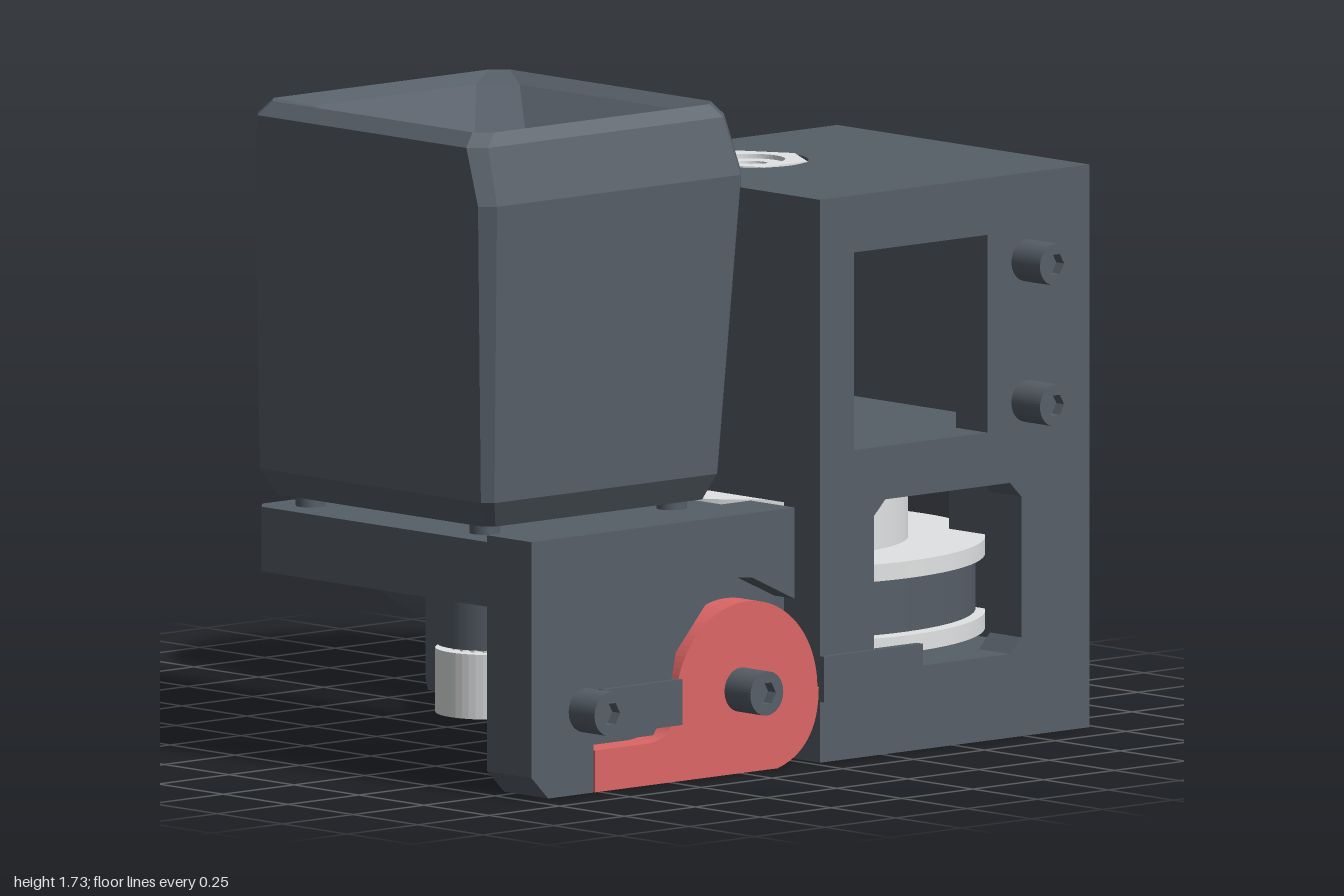
import * as THREE from 'three';

const mat = (name, color) => {
  const m = new THREE.MeshStandardMaterial({ color });
  m.name = name;
  return m;
};

export function createModel() {
  const dark = mat('dark grey plastic', 0x565e67);
  const red = mat('red lever', 0xde6666);
  const light = mat('light grey metal', 0xe2e3e4);
  const root = new THREE.Group();
  root.name = 'beltExtruder';

  const add = (name, geo, m = dark, x = 0, y = 0, z = 0, parent = root) => {
    const mesh = new THREE.Mesh(geo, m);
    mesh.name = name;
    mesh.position.set(x, y, z);
    parent.add(mesh);
    return mesh;
  };
  const poly = pts => new THREE.Shape(pts.map(p => new THREE.Vector2(p[0], p[1])));
  const rect = (a, b, c, d, k = 0) => poly(k
    ? [[a + k, b], [c - k, b], [c, b + k], [c, d - k], [c - k, d], [a + k, d], [a, d - k], [a, b + k]]
    : [[a, b], [c, b], [c, d], [a, d]]);
  const disc = (x, y, r) => new THREE.Shape().absarc(x, y, r, 0, Math.PI * 2);
  const hex = (x, y, r) => poly([...Array(6).keys()].map(i =>
    [x + r * Math.cos(i * Math.PI / 3), y + r * Math.sin(i * Math.PI / 3)]));
  const extrude = (shape, depth, holes = []) => {
    shape.holes.push(...holes);
    return new THREE.ExtrudeGeometry(shape, { depth, bevelEnabled: false, curveSegments: 24 });
  };
  // Extrusions: front shapes (x, y), side shapes (-z, y), plan shapes (x, -z)
  const front = (name, shape, z0, z1, holes, m) => add(name, extrude(shape, z1 - z0, holes), m, 0, 0, z0);
  const side = (name, shape, x0, x1, holes, m) =>
    add(name, extrude(shape, x1 - x0, holes).rotateY(Math.PI / 2), m, x0);
  const plan = (name, shape, y0, y1, holes, m) =>
    add(name, extrude(shape, y1 - y0, holes).rotateX(-Math.PI / 2), m, 0, y0);
  const box = (name, x0, x1, y0, y1, z0, z1, m) =>
    add(name, new THREE.BoxGeometry(x1 - x0, y1 - y0, z1 - z0), m, (x0 + x1) / 2, (y0 + y1) / 2, (z0 + z1) / 2);
  const cyl = (name, r, y0, y1, x, z, m = light, n = 48) =>
    add(name, new THREE.CylinderGeometry(r, r, y1 - y0, n), m, x, (y0 + y1) / 2, z);
  // Socket screw whose head faces local +z, ending at the given point
  const screw = (x, y, z, r, len, turn = 0) => {
    const g = new THREE.Group();
    g.name = 'socketScrew';
    const ring = Math.min(0.03, len / 2);
    add('screwShank', new THREE.CylinderGeometry(r, r, len - ring, 24).rotateX(Math.PI / 2), dark, 0, 0, -(len + ring) / 2, g);
    add('screwHead', extrude(disc(0, 0, r), ring, [hex(0, 0, r * 0.55)]), dark, 0, 0, -ring, g);
    g.position.set(x, y, z);
    g.rotation.y = turn;
    root.add(g);
  };

  // Main housing side walls, with pockets, nut seats, gear window and gear slot
  const wall = () => poly([[-0.88, 0], [0.42, 0], [0.42, 1.02], [0.28, 1.02], [0.22, 1.09], [0.09, 1.48], [-0.88, 1.48]]);
  const gearWindow = () => rect(-0.47, 0.22, 0.02, 0.67);
  const pocket = s => poly([[0.08, 0.8], [0.165, 0.82], [0.32, 1.08], [0.2, 1.31], [0.08, 1.35]]
    .map(([u, v]) => [-0.225 + s * u, v]));
  const nuts = [0.465, -0.01].flatMap(z => [1.39, 0.74, 0.14].map(y => [z, y]));
  side('rightWallOuter', wall(), 0.92, 0.98,
    [gearWindow(), pocket(1), pocket(-1), ...nuts.map(([z, y]) => hex(-z, y, 0.068))]);
  side('rightWallInner', wall(), 0.86, 0.92, [gearWindow()]);
  side('leftWall', wall(), 0.03, 0.15, [rect(-0.74, 0.2, 0.33, 0.67)]);
  for (const [z, y] of nuts) screw(0.978, y, z, 0.055, 0.06, Math.PI / 2);
  // Front wall with two windows
  front('frontWall', rect(0.03, 0, 0.98, 1.48), 0.76, 0.88,
    [rect(0.15, 0.81, 0.62, 1.33), rect(0.22, 0.22, 0.74, 0.67, 0.04)]);
  // Horizontal floors and roof
  plan('roof', rect(0.03, -0.88, 0.98, 0.09), 1.34, 1.48, [disc(0.39, -0.22, 0.15)]);
  box('middleFloor', 0.03, 0.98, 0.67, 0.8, -0.42, 0.88);
  box('bottomFloor', 0.03, 0.98, 0.07, 0.22, -0.42, 0.88);
  plan('bottomRim', rect(0.03, -0.88, 0.98, 0.42), 0, 0.07,
    [new THREE.Shape().absellipse(0.5, -0.22, 0.42, 0.48, 0, Math.PI * 2)]);
  box('backWall', 0.03, 0.98, 0, 0.8, -0.42, -0.34);
  box('backShoulderLeft', 0.03, 0.17, 0.8, 1.02, -0.42, -0.14);
  box('backShoulderRight', 0.61, 0.98, 0.8, 1.02, -0.42, -0.14);
  // Sloping back, leaned by shifting points with height
  const slope = extrude(poly([[0.03, 1.0], [0.17, 1.0], [0.17, 1.28], [0.22, 1.34], [0.56, 1.34], [0.61, 1.28],
    [0.61, 1.0], [0.98, 1.0], [0.98, 1.48], [0.03, 1.48]]), 0.1, [disc(0.76, 1.27, 0.09)]);
  const sp = slope.attributes.position;
  for (let i = 0; i < sp.count; i++) sp.setZ(i, sp.getZ(i) - 0.09 - (1.48 - sp.getY(i)) * 0.333);
  slope.computeVertexNormals();
  add('slopingBack', slope);
  box('slopeHoleBacking', 0.63, 0.89, 1.15, 1.36, -0.06, -0.03);
  box('frontCatch', 0.03, 0.38, 0.16, 0.28, 0.87, 0.895);
  for (const y of [1.25, 0.88]) screw(0.76, y, 0.99, 0.055, 0.12);

  // Filament couplers in the top and bottom
  plan('topCoupler', hex(0.39, -0.22, 0.155), 1.46, 1.482, [disc(0.39, -0.22, 0.09)], light);
  plan('topCouplerRing', disc(0.39, -0.22, 0.1), 1.42, 1.47, [disc(0.39, -0.22, 0.045)], light);
  plan('bottomNut', hex(0.39, -0.22, 0.155), 0.03, 0.08, [disc(0.39, -0.22, 0.085)]);
  plan('bottomCoupler', disc(0.39, -0.22, 0.085), 0.04, 0.08, [disc(0.39, -0.22, 0.04)], light);

  // Large belt wheel
  cyl('wheelLowerFlange', 0.61, 0.25, 0.295, 0.39, 0.22, light, 80);
  cyl('wheelUpperFlange', 0.61, 0.445, 0.49, 0.39, 0.22, light, 80);
  cyl('wheelHub', 0.41, 0.49, 0.645, 0.39, 0.22, light, 64);
  cyl('wheelFoot', 0.2, 0.22, 0.25, 0.39, 0.22);
  cyl('driveShaft', 0.05, 0.2, 1.36, 0.39, 0.22, light, 24);
  cyl('wheelCore', 0.55, 0.295, 0.445, 0.39, 0.22, dark, 64);

  // Belt: two arcs joined by tangents
  const bx = -0.53, bz = -0.23, wx = 0.39, wz = -0.22;
  const loop = (R, r) => {
    const a = Math.acos((R - r) / (wx - bx));
    const s = new THREE.Shape();
    s.absarc(wx, wz, R, -Math.PI + a, Math.PI - a);
    s.absarc(bx, bz, r, Math.PI - a, Math.PI + a);
    return s;
  };
  plan('belt', loop(0.585, 0.145), 0.3, 0.44, [loop(0.55, 0.11)]);

  // Toothed pulleys
  const toothed = (name, x, z, r, y0, y1) => plan(name, poly([...Array(80).keys()].map(i => {
    const a = i * Math.PI / 40, q = i % 4 < 2 ? r : r * 0.86;
    return [x + q * Math.cos(a), -z + q * Math.sin(a)];
  })), y0, y1, [], light);
  toothed('upperPulleyTeeth', 0.39, 0.22, 0.135, 0.85, 1.1);
  cyl('upperPulleyFlange', 0.18, 0.825, 0.86, 0.39, 0.22);
  cyl('upperPulleyCollar', 0.178, 1.1, 1.29, 0.39, 0.22);
  add('pulleyGrubScrew', extrude(hex(0, 0, 0.055), 0.03, [disc(0, 0, 0.03)]), light, 0.39, 1.18, 0.385);
  toothed('motorPulleyTeeth', bx, -bz, 0.115, 0.28, 0.5);
  cyl('motorPulleyFlange', 0.15, 0.48, 0.51, bx, -bz);
  plan('motorPulleyCollar', disc(bx, bz, 0.15), 0.12, 0.29, [disc(bx, bz, 0.045)], light);
  cyl('motorShaft', 0.045, 0.15, 0.7, bx, -bz, light, 24);

  // Motor bracket: front plate in two layers, and a shelf with a corner lug
  front('bracketFront', poly([[-0.99, 0.06], [-0.93, 0], [-0.77, 0], [-0.77, 0.13], [-0.56, 0.13], [-0.51, 0.2],
    [-0.48, 0.34], [-0.38, 0.45], [-0.3, 0.52], [-0.21, 0.51], [-0.06, 0.44], [-0.06, 0.68], [-0.99, 0.68]]), 0.8, 0.88);
  front('bracketBack', poly([[-0.99, 0.06], [-0.93, 0], [-0.77, 0], [-0.77, 0.1], [-0.58, 0.1], [-0.52, 0.02],
    [-0.12, 0.02], [-0.06, 0.08], [-0.06, 0.68], [-0.99, 0.68]]), 0.71, 0.8);
  plan('motorShelf', poly([[-0.98, -0.75], [-0.07, -0.75], [-0.07, -0.1], [-0.4, 0.07], [-0.76, 0.15],
    [-0.83, 0.21], [-0.94, 0.21], [-0.98, 0.17]]), 0.49, 0.66, [disc(bx, bz, 0.19)]);
  box('bracketCatch', -0.75, -0.47, 0.15, 0.27, 0.87, 0.895);
  for (const x of [-0.8, -0.25]) {
    screw(x, 0.22, 0.98, 0.058, 0.2);
    screw(x, 0.22, 0.67, 0.1, 0.06, Math.PI);
  }
  for (const x of [-0.87, -0.21]) for (const z of [-0.1, 0.57]) cyl('motorStandoff', 0.04, 0.64, 0.75, x, z, dark, 16);

  // Red lever
  const lever = new THREE.Shape();
  lever.moveTo(-0.765, 0);
  lever.lineTo(-0.12, 0);
  lever.quadraticCurveTo(0.025, 0.04, 0.025, 0.2);
  lever.absarc(-0.23, 0.2, 0.25, 0, Math.PI);
  lever.quadraticCurveTo(-0.49, 0.11, -0.58, 0.11);
  lever.lineTo(-0.765, 0.11);
  front('lever', lever, 0.8, 0.88, [], red);

  // Square motor: chamfered sections lofted upward, then down into the top hollow
  // section: [y, xMin, xMax, zMin, zMax, corner cut]
  const sections = [
    [0.69, -0.94, -0.16, -0.18, 0.66, 0.025], [0.76, -0.98, -0.145, -0.2, 0.7, 0.025],
    [1.54, -0.99, -0.06, -0.22, 0.71, 0.035], [1.69, -0.99, -0.08, -0.215, 0.67, 0.04],
    [1.725, -0.95, -0.11, -0.2, 0.65, 0.04], [1.7, -0.89, -0.16, -0.15, 0.6, 0.08],
    [1.55, -0.66, -0.34, 0.06, 0.4, 0.1]];
  const pos = [], index = [];
  sections.forEach(([y, a, b, c, d, k]) => pos.push(
    a + k, y, d, b - k, y, d, b, y, d - k, b, y, c + k, b - k, y, c, a + k, y, c, a, y, c + k, a, y, d - k));
  for (let s = 0; s < sections.length - 1; s++) for (let i = 0; i < 8; i++) {
    const p = s * 8 + i, q = s * 8 + (i + 1) % 8;
    index.push(p, q, q + 8, p, q + 8, p + 8);
  }
  const last = (sections.length - 1) * 8;
  for (let i = 1; i < 7; i++) index.push(0, i + 1, i, last, last + i, last + i + 1);
  const body = new THREE.BufferGeometry();
  body.setAttribute('position', new THREE.Float32BufferAttribute(pos, 3));
  body.setIndex(index);
  const flat = body.toNonIndexed();
  flat.computeVertexNormals();
  add('squareMotor', flat);
  cyl('motorTopShaft', 0.05, 1.5, 1.6, bx, 0.24, dark, 20);

  // Rear mounting plate with wedge and screws
  const plate = new THREE.Shape();
  plate.moveTo(0.03, 0.03);
  plate.lineTo(0.98, 0.03);
  plate.lineTo(0.98, 0.96);
  plate.lineTo(0.94, 1.0);
  plate.lineTo(0.46, 1.0);
  plate.absarc(0.46, 0.57, 0.43, Math.PI / 2, Math.PI);
  front('rearPlate', plate, -0.575, -0.42);
  side('rearWedge', poly([[0.57, 0.03], [0.63, 0.03], [0.64, 0.06], [0.64, 0.34], [0.575, 0.82], [0.57, 0.82]]), 0.03, 0.98);
  for (const x of [0.89, 0.12]) screw(x, 0.12, -0.645, 0.06, 0.09, Math.PI);

  // Round rear motor with a recessed centre
  const profile = [[0.43, 0], [0.43, 0.4], [0.415, 0.42], [0.13, 0.42], [0.1, 0.3], [0, 0.3]];
  const round = [];
  profile.forEach(([r, h], i) => { // doubled points keep the edges sharp
    round.push(new THREE.Vector2(r, h));
    if (i && i < profile.length - 1) round.push(new THREE.Vector2(r, h));
  });
  add('roundMotor', new THREE.LatheGeometry(round, 64).rotateX(-Math.PI / 2), dark, 0.46, 0.57, -0.58);
  screw(0.46, 0.57, -0.92, 0.06, 0.05, Math.PI);

  return root;
}
